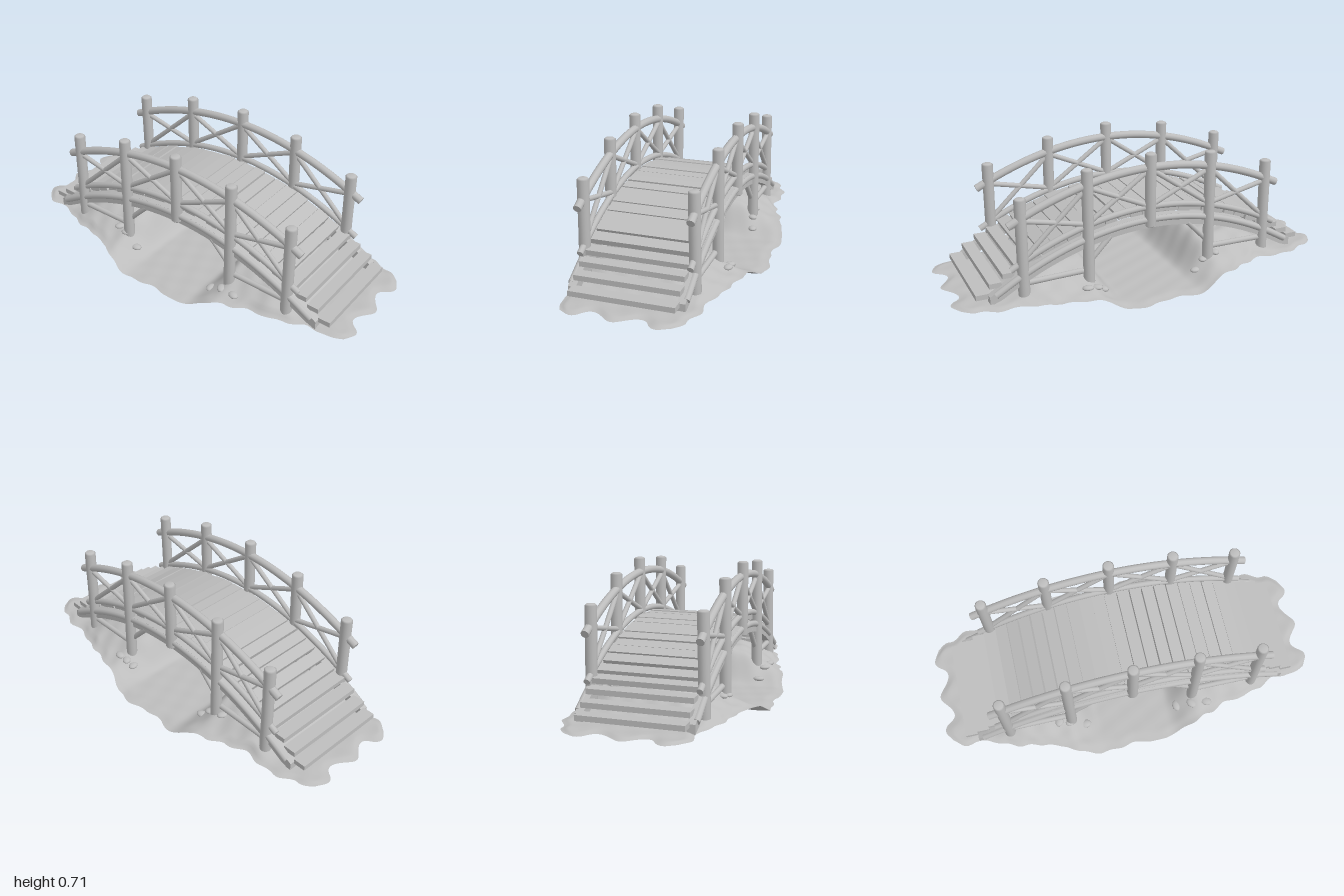
import * as THREE from 'three';

const { lerp, smoothstep, clamp } = THREE.MathUtils;
const grey = new THREE.MeshStandardMaterial({ color: 0xbdbdbd });
grey.name = 'plain grey';

// Arches of the deck and the handrail
const deckY = (x) => 0.413 - 0.39 * x * x;
const railY = (x) => 0.635 - 0.35 * x * x;

// Half-width of the ground at x = -1, -0.9 ... 1, front and back
const frontEdge = [0.24, 0.29, 0.285, 0.33, 0.36, 0.375, 0.41, 0.46, 0.475, 0.465, 0.455,
  0.475, 0.455, 0.43, 0.4, 0.36, 0.35, 0.32, 0.28, 0.285, 0.24];
const backEdge = [0.26, 0.31, 0.35, 0.355, 0.34, 0.38, 0.42, 0.45, 0.48, 0.455, 0.46,
  0.485, 0.475, 0.44, 0.42, 0.395, 0.375, 0.34, 0.345, 0.31, 0.26];

function halfWidth(x, front) {
  const list = front ? frontEdge : backEdge;
  const t = clamp((x + 1) * 10, 0, 19.999);
  const i = Math.floor(t);
  return lerp(list[i], list[i + 1], smoothstep(t - i, 0, 1)) + 0.005 * Math.sin(x * 47 + (front ? 0 : 2));
}

// Two flat banks with a dry gully between them
const baseY = (x) => 0.005 + 0.063 * smoothstep(Math.abs(x), 0.18, 0.35);

function bumpY(x, z) {
  const ax = Math.abs(x);
  const bank = smoothstep(ax, 0.19, 0.34) * (1 - smoothstep(ax, 0.55, 0.76));
  const mound = 0.1 * bank * (1 - smoothstep(Math.abs(z), 0.14, 0.4));
  const rough = 0.004 * Math.sin(x * 41 + z * 17) * Math.sin(z * 37 - x * 13);
  return mound + 0.009 + rough * (0.4 + bank);
}

function mesh(name, geometry, parent) {
  const m = new THREE.Mesh(geometry, grey);
  m.name = name;
  parent.add(m);
  return m;
}

// One side of the ground sheet; both sides meet at the rim
function groundSheet(top) {
  const g = new THREE.PlaneGeometry(2, 2, 130, 60);
  g.rotateX(top ? -Math.PI / 2 : Math.PI / 2);
  const p = g.attributes.position;
  for (let i = 0; i < p.count; i++) {
    const u = p.getX(i), v = p.getZ(i);
    const x = u * (0.97 + 0.03 * Math.cos((v * 2 * Math.PI) / 0.8));
    const z = v * halfWidth(x, v > 0);
    const inside = smoothstep(1 - Math.abs(u), 0, 0.04) * smoothstep(1 - Math.abs(v), 0, 0.12);
    p.setXYZ(i, x, baseY(x) + inside * (top ? bumpY(x, z) : -0.005), z);
  }
  g.computeVertexNormals();
  return g;
}

// Round log between two points, with softened ends
function log(name, a, b, r, parent) {
  const from = new THREE.Vector3(...a), to = new THREE.Vector3(...b);
  const h = from.distanceTo(to), c = r * 0.25;
  const profile = [[0, 0], [r - c, 0], [r, c], [r * 0.96, h / 2], [r, h - c], [r - c, h], [0, h]]
    .map(([x, y]) => new THREE.Vector2(x, y));
  const m = mesh(name, new THREE.LatheGeometry(profile, 14), parent);
  m.position.copy(from);
  m.quaternion.setFromUnitVectors(new THREE.Vector3(0, 1, 0), to.sub(from).normalize());
  return m;
}

// Bent log following an arch, with capped ends
function archLog(name, yAt, reach, z, r, parent) {
  const points = [];
  for (let i = 0; i <= 12; i++) {
    const x = lerp(-reach, reach, i / 12);
    points.push(new THREE.Vector3(x, yAt(x), z));
  }
  const curve = new THREE.CatmullRomCurve3(points);
  mesh(name, new THREE.TubeGeometry(curve, 48, r, 10), parent);
  for (const end of [0, 1]) {
    const cap = mesh(name + 'End', new THREE.CircleGeometry(r, 10), parent);
    cap.position.copy(curve.getPoint(end));
    const dir = curve.getTangent(end).multiplyScalar(end ? 1 : -1);
    cap.quaternion.setFromUnitVectors(new THREE.Vector3(0, 0, 1), dir);
  }
}

// Curved side beam under the planks
function sideBeam(z, parent) {
  const shape = new THREE.Shape();
  const n = 28, reach = 0.83;
  for (let i = 0; i <= n; i++) {
    const x = lerp(-reach, reach, i / n);
    if (i) shape.lineTo(x, deckY(x) - 0.03);
    else shape.moveTo(x, deckY(x) - 0.03);
  }
  for (let i = n; i >= 0; i--) {
    const x = lerp(-reach, reach, i / n);
    shape.lineTo(x, Math.max(0.07, deckY(x) - 0.09));
  }
  const g = new THREE.ExtrudeGeometry(shape, { depth: 0.04, bevelEnabled: false });
  mesh('sideBeam', g, parent).position.z = z - 0.02;
}

function railing(s) {
  const side = new THREE.Group();
  side.name = s > 0 ? 'frontRailing' : 'backRailing';
  const z = s * 0.27;

  // Posts
  const posts = [[0, 0.33, 0.71, 0.277], [0.33, 0.08, 0.675, 0.274], [0.66, 0.075, 0.58, 0.266]];
  for (const [px, y0, y1, pz] of posts) {
    for (const m of px ? [-1, 1] : [1]) {
      log('post', [m * px, y0, s * (pz + (px ? 0.007 : 0))], [m * px, y1, s * pz], 0.029, side);
    }
  }

  // Bent rails and beams
  archLog('handrail', railY, 0.725, z, 0.02, side);
  archLog('lowerRail', (x) => deckY(x) + 0.017, 0.72, s * 0.268, 0.016, side);
  archLog('beamLog', (x) => deckY(x) - 0.047, 0.8, s * 0.277, 0.017, side);
  sideBeam(s * 0.262, side);

  // Crossed braces, ground logs and struts on both halves
  for (const m of [-1, 1]) {
    for (const [a, b] of [[0.02, 0.32], [0.34, 0.65]]) {
      log('brace', [m * a, railY(a) - 0.02, z], [m * b, deckY(b) + 0.03, z], 0.013, side);
      log('brace', [m * a, deckY(a) + 0.03, z], [m * b, railY(b) - 0.02, z], 0.013, side);
    }
    log('groundLog', [m * 0.34, 0.155, z], [m * 0.66, 0.15, z], 0.015, side);
    log('strut', [m * 0.33, 0.19, z], [m * 0.21, 0.315, z], 0.014, side);
  }
  return side;
}

export function createModel() {
  const model = new THREE.Group();
  model.name = 'footbridge';

  // Ground
  mesh('groundTop', groundSheet(true), model);
  mesh('groundUnderside', groundSheet(false), model);

  // Stones along the banks
  for (let i = 0; i < 12; i++) {
    const m = i % 2 ? 1 : -1, s = i % 4 < 2 ? 1 : -1;
    const x = m * (0.26 + 0.06 * Math.floor(i / 4) + 0.02 * Math.sin(i * 5));
    const z = s * (0.31 + 0.03 * Math.sin(i * 3));
    const stone = mesh('stone', new THREE.SphereGeometry(0.025, 10, 7), model);
    stone.scale.set(1.2, 0.5, 0.9);
    stone.position.set(x, baseY(x) + bumpY(x, z), z);
    stone.rotation.y = i * 1.7;
  }

  // Deck planks: sloped along the arch, level treads at the ends
  const count = 27, reach = 0.86;
  for (let i = 0; i < count; i++) {
    const x = lerp(-reach, reach, i / (count - 1));
    const ax = Math.abs(x);
    const slope = Math.atan(-0.78 * x) * (1 - smoothstep(ax, 0.5, 0.72));
    const plank = mesh('plank', new THREE.BoxGeometry(0.064 + 0.004 * Math.sin(i * 7), 0.026, 0.512), model);
    plank.position.set(x, deckY(x) - 0.011 + 0.003 * Math.sin(i * 4.3), 0.003 * Math.sin(i * 2.9));
    plank.rotation.z = slope;
  }

  model.add(railing(1), railing(-1));
  return model;
}
